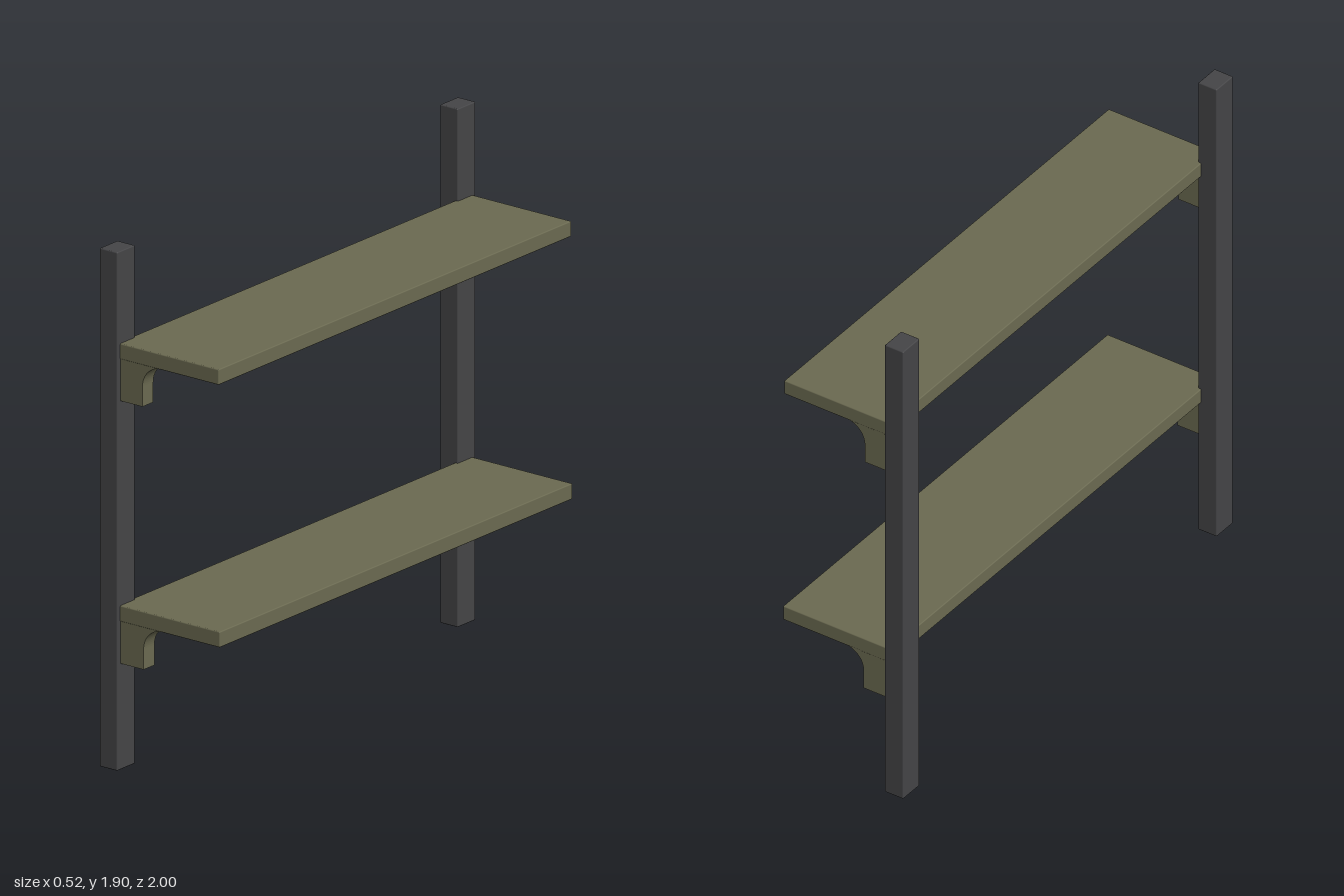
import * as THREE from 'three';
import { RoundedBoxGeometry } from 'three/addons/geometries/RoundedBoxGeometry.js';

const postMaterial = new THREE.MeshStandardMaterial({ color: 0x444446 });
const shelfMaterial = new THREE.MeshStandardMaterial({ color: 0x6a6950 });

// Box given by its lower and upper corners, with slightly softened edges
function box(name, [x0, y0, z0], [x1, y1, z1], material) {
  const mesh = new THREE.Mesh(new RoundedBoxGeometry(x1 - x0, y1 - y0, z1 - z0, 2, 0.004), material);
  mesh.position.set((x0 + x1) / 2, (y0 + y1) / 2, (z0 + z1) / 2);
  mesh.name = name;
  return mesh;
}

// Bracket profile: a block against the post with a concave quarter curve up to the board
function bracketGeometry(underside, bottom, front) {
  const radius = 0.08;
  const shape = new THREE.Shape();
  shape.moveTo(-0.19, bottom);
  shape.lineTo(front, bottom);
  shape.lineTo(front, underside - radius);
  shape.absarc(front + radius, underside - radius, radius, Math.PI, Math.PI / 2, true);
  shape.lineTo(front + radius, underside + 0.01);
  shape.lineTo(-0.19, underside + 0.01);
  shape.closePath();
  const geometry = new THREE.ExtrudeGeometry(shape, { depth: 0.06, bevelEnabled: false, curveSegments: 8 });
  geometry.translate(0, 0, -0.03);
  return geometry;
}

export function createModel() {
  const model = new THREE.Group();
  model.name = 'wallShelf';

  // Two upright posts
  for (const [name, z] of [['rightPost', 0.9], ['leftPost', -1]]) {
    model.add(box(name, [-0.26, 0, z], [-0.182, 1.905, z + 0.1], postMaterial));
  }

  // Two boards, each carried by a bracket at either end
  const shelves = [
    { name: 'lowerShelf', bottom: 0.39, underside: 0.545, top: 0.603, front: 0.258, bracketFront: -0.08 },
    { name: 'upperShelf', bottom: 1.355, underside: 1.509, top: 1.566, front: 0.253, bracketFront: -0.085 },
  ];
  for (const s of shelves) {
    const shelf = new THREE.Group();
    shelf.name = s.name;
    shelf.add(box('board', [-0.195, s.underside, -0.985], [s.front, s.top, 0.983], shelfMaterial));
    const geometry = bracketGeometry(s.underside, s.bottom, s.bracketFront);
    for (const side of [-1, 1]) {
      const bracket = new THREE.Mesh(geometry, shelfMaterial);
      bracket.name = 'bracket';
      bracket.position.z = side * 0.951;
      shelf.add(bracket);
    }
    model.add(shelf);
  }
  return model;
}
